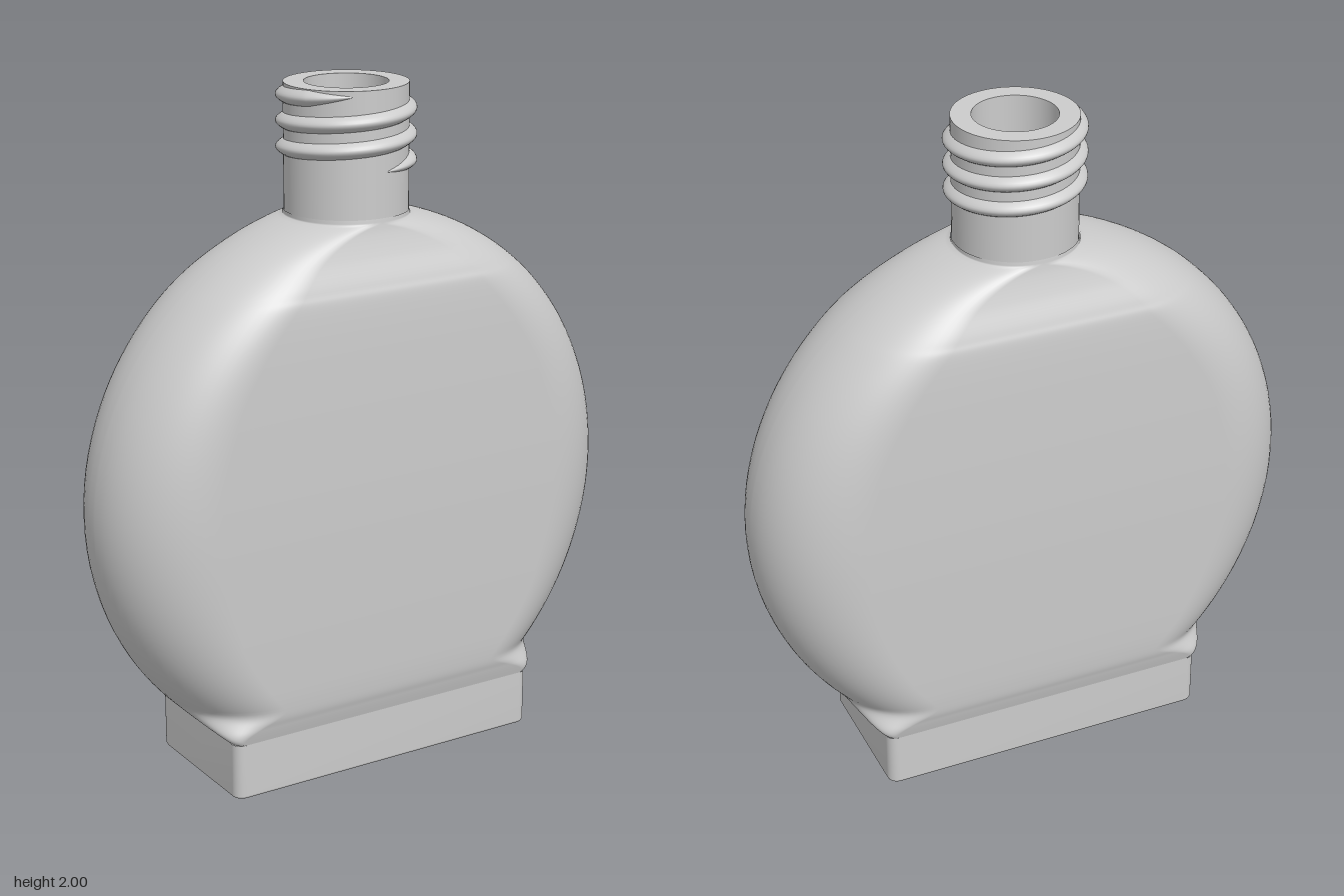
import * as THREE from 'three';
import { ParametricGeometry } from 'three/addons/geometries/ParametricGeometry.js';

const ARC = 16; // segments per rounded corner

// Rounded-rectangle outline at height y: half-width a, half-depth b, corner radius r
function ring({ y, a, b, r }) {
  const points = [];
  for (let k = 0; k < 4; k++) {
    const cx = (k === 0 || k === 3 ? 1 : -1) * (a - r);
    const cz = (k < 2 ? 1 : -1) * (b - r);
    for (let i = 0; i <= ARC; i++) {
      const t = (k + i / ARC) * Math.PI / 2;
      points.push([cx + r * Math.cos(t), y, cz + r * Math.sin(t)]);
    }
  }
  return points;
}

// Skin a stack of outlines, bottom to top; inward turns the faces inside
function loft(sections, inward = false) {
  const rings = sections.map(ring);
  const n = rings[0].length;
  const index = [];
  for (let i = 0; i < rings.length - 1; i++) {
    for (let j = 0; j < n; j++) {
      const k = (j + 1) % n;
      const a = i * n + j, b = i * n + k, c = a + n, d = b + n;
      if (inward) index.push(a, b, c, b, d, c);
      else index.push(a, c, b, b, c, d);
    }
  }
  const geometry = new THREE.BufferGeometry();
  geometry.setAttribute('position', new THREE.Float32BufferAttribute(rings.flat(2), 3));
  geometry.setIndex(index);
  geometry.computeVertexNormals();
  return geometry;
}

// Half-depth of the flask by height
const depthCurve = new THREE.SplineCurve([
  [0.17, 0.23], [0.21, 0.241], [0.26, 0.251], [0.4, 0.257], [0.82, 0.265], [1.2, 0.26],
  [1.41, 0.251], [1.47, 0.237], [1.54, 0.207], [1.6, 0.187], [1.64, 0.18],
].map(([y, b]) => new THREE.Vector2(y, b)));

// Round outline in front, stadium cross-section, squared off where it meets the base
function flaskSections(wall = 0) {
  return depthCurve.getPoints(90).map(({ x: y, y: depth }) => {
    const circle = Math.sqrt(Math.max(0, 0.825 ** 2 - (y - 0.82) ** 2));
    const a = Math.max(0.18, circle) - wall;
    const b = depth - wall;
    const full = 0.98 * Math.min(a, b);
    const r = THREE.MathUtils.lerp(0.03, full, THREE.MathUtils.smoothstep(y, 0.17, 0.26));
    return { y, a, b, r };
  });
}

export function createModel() {
  const group = new THREE.Group();
  const material = new THREE.MeshStandardMaterial({ color: 0xcccccc });
  const add = (name, geometry) => {
    const mesh = new THREE.Mesh(geometry, material);
    mesh.name = name;
    group.add(mesh);
    return mesh;
  };

  // Flask and its hollow inside
  add('body', loft(flaskSections()));
  add('cavity', loft([{ y: 0.06, a: 0.45, b: 0.17, r: 0.03 }, ...flaskSections(0.06)], true));
  const floor = add('cavityFloor', new THREE.PlaneGeometry(0.9, 0.34));
  floor.rotation.x = -Math.PI / 2;
  floor.position.y = 0.06;

  // Rectangular foot with a softened lower edge
  const bottom = { y: 0, a: 0.5, b: 0.22, r: 0.025 };
  add('base', loft([
    bottom,
    { y: 0.003, a: 0.507, b: 0.227, r: 0.03 },
    { y: 0.01, a: 0.51, b: 0.23, r: 0.03 },
    { y: 0.17, a: 0.51, b: 0.23, r: 0.03 },
  ]));
  add('baseUnderside', loft([{ y: 0, a: 0, b: 0, r: 0 }, bottom]));

  // Neck: outer wall, rim and bore
  const tube = (points) => new THREE.LatheGeometry(points.map(([r, y]) => new THREE.Vector2(r, y)), 64);
  add('neck', tube([[0.178, 1.63], [0.178, 2]]));
  add('neckRim', tube([[0.178, 2], [0.12, 2]]));
  add('neckBore', tube([[0.12, 2], [0.12, 1.64]]));

  // Screw thread: three rising turns with ends that fade into the neck
  const turns = 2.95, pitch = 0.074;
  add('thread', new ParametricGeometry((u, v, target) => {
    const t = Math.PI / 2 - u * turns * 2 * Math.PI;
    const fade = Math.min(1, Math.min(u, 1 - u) * turns / 0.14);
    const r = 0.174 + 0.026 * fade * Math.sin(Math.PI * v) ** 0.9;
    const y = 1.767 + u * turns * pitch + (v - 0.5) * 0.05 * fade;
    target.set(r * Math.cos(t), Math.min(y, 2), r * Math.sin(t));
  }, 200, 10));

  return group;
}
